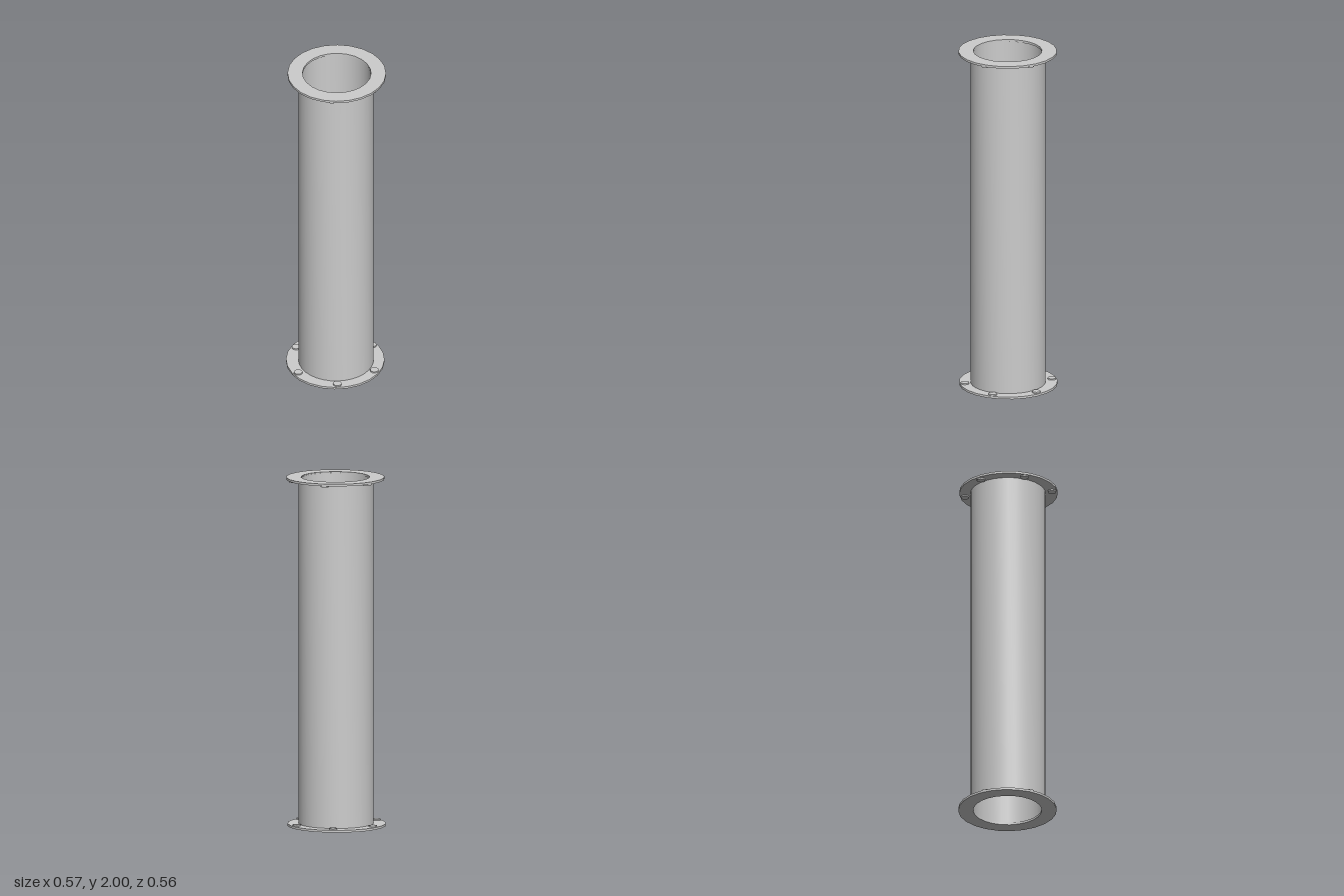
import * as THREE from 'three';
import { toCreasedNormals } from 'three/addons/utils/BufferGeometryUtils.js';

const material = new THREE.MeshStandardMaterial({ color: 0xcccccc });

// Hollow ring with a rectangular section, standing from y0 to y1
function ring(name, inner, outer, y0, y1, sides) {
  const profile = [[inner, y0], [outer, y0], [outer, y1], [inner, y1], [inner, y0]]
    .map(([r, y]) => new THREE.Vector2(r, y));
  const geometry = toCreasedNormals(new THREE.LatheGeometry(profile, sides), 0.7);
  const mesh = new THREE.Mesh(geometry, material);
  mesh.name = name;
  return mesh;
}

// Flange plate with six bolt heads on the side facing the pipe
function flangeEnd(name, plateY, boltY, phase) {
  const end = new THREE.Group();
  end.name = name;
  end.add(ring('flangePlate', 0.195, 0.28, plateY, plateY + 0.013, 24));
  const head = new THREE.CylinderGeometry(0.024, 0.024, 0.008, 12);
  for (let i = 0; i < 6; i++) {
    const a = THREE.MathUtils.degToRad(phase + i * 60);
    const bolt = new THREE.Mesh(head, material);
    bolt.name = 'boltHead';
    bolt.position.set(0.25 * Math.sin(a), boltY, 0.25 * Math.cos(a));
    end.add(bolt);
  }
  return end;
}

export function createModel() {
  const model = new THREE.Group();
  model.name = 'flangedPipe';

  // Straight pipe between the flanges
  model.add(ring('pipe', 0.197, 0.214, 0.006, 1.994, 32));

  // Ends, each set slightly off the axis
  const bottom = flangeEnd('bottomFlange', 0, 0.017, 34);
  bottom.position.x = -0.005;
  const top = flangeEnd('topFlange', 1.987, 1.983, 25);
  top.position.x = 0.005;
  model.add(bottom, top);

  return model;
}
